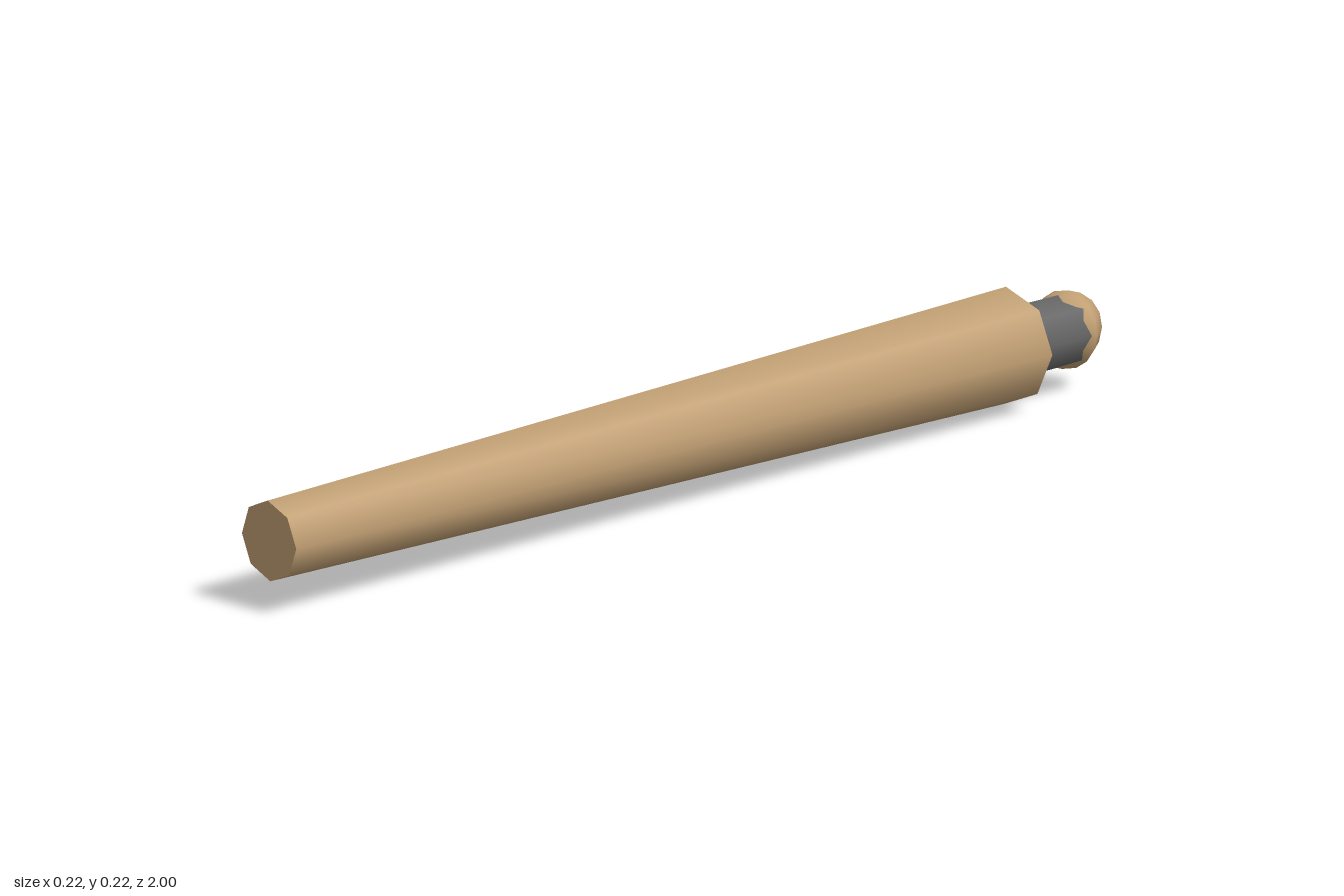
import * as THREE from 'three';

const AXIS_Y = 0.112;

export function createModel() {
  const group = new THREE.Group();
  group.name = 'taperedClub';
  const wood = new THREE.MeshStandardMaterial({ color: 0xc19f73 });
  const wrap = new THREE.MeshStandardMaterial({ color: 0x666666 });

  const add = (name, geometry, material, z) => {
    const mesh = new THREE.Mesh(geometry, material);
    mesh.name = name;
    mesh.position.set(0, AXIS_Y, z);
    group.add(mesh);
  };

  // Eight-sided rod lying along z between two depths
  const rod = (name, frontRadius, backRadius, frontZ, backZ, material) => {
    const geometry = new THREE.CylinderGeometry(frontRadius, backRadius, frontZ - backZ, 8);
    geometry.rotateX(Math.PI / 2);
    add(name, geometry, material, (frontZ + backZ) / 2);
  };

  // Long tapered shaft, thick at the back
  rod('shaft', 0.063, 0.111, 1, -0.755, wood);
  // Narrow neck behind the shaft
  rod('neck', 0.07, 0.07, -0.755, -0.935, wrap);
  // Round end knob, six-sided around the vertical axis
  add('knob', new THREE.SphereGeometry(0.075, 6, 8), wood, -0.935);

  return group;
}
